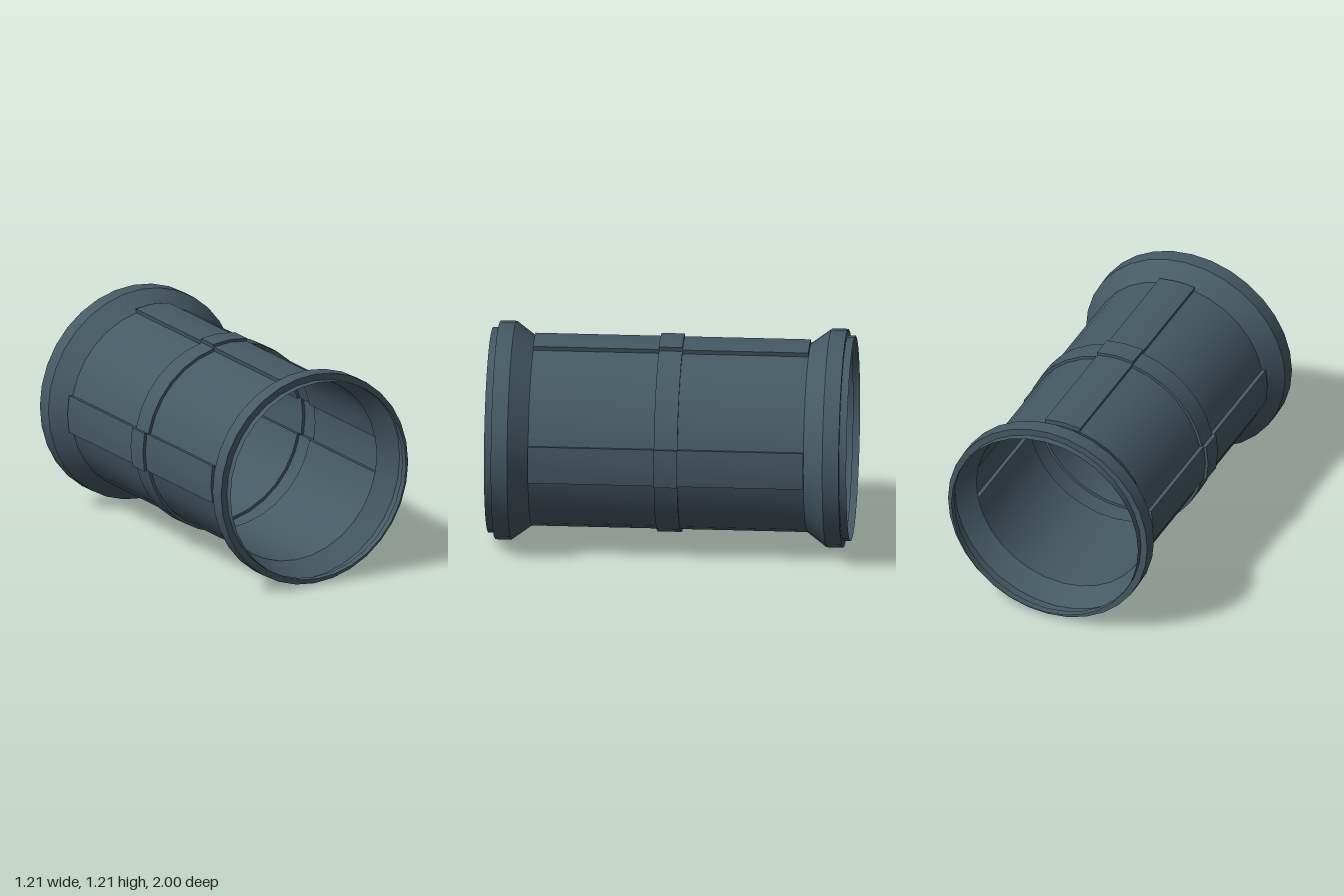
import * as THREE from 'three';
import { toCreasedNormals } from 'three/addons/utils/BufferGeometryUtils.js';

const SIDES = 32;
const CENTRE_Y = 0.603;
const PANEL_RISE = 0.025;
const PANEL_CENTRES = [0, 8, 16]; // left side, top, right side

// Points around the pipe as [angle, raised], doubled where a raised panel steps up or down
function ringPoints() {
  const points = [];
  for (let k = 0; k < SIDES; k++) {
    const angle = (k / SIDES) * Math.PI * 2;
    const starts = PANEL_CENTRES.some((c) => (c + SIDES - 1) % SIDES === k);
    const ends = PANEL_CENTRES.some((c) => c + 1 === k);
    const middle = PANEL_CENTRES.includes(k);
    if (starts) points.push([angle, 0], [angle, 1]);
    else if (ends) points.push([angle, 1], [angle, 0]);
    else points.push([angle, middle ? 1 : 0]);
  }
  return points;
}

// Skin a shell through stations of [z, radius, panel rise]
function shell(stations) {
  const ring = ringPoints();
  const at = ([z, radius, rise = 0], [angle, raised]) => {
    const r = radius + rise * raised;
    return new THREE.Vector3(r * Math.cos(angle), r * Math.sin(angle), z);
  };
  const positions = [];
  const triangle = new THREE.Triangle();
  const add = (a, b, c) => {
    if (triangle.set(a, b, c).getArea() < 1e-7) return;
    for (const p of [a, b, c]) positions.push(p.x, p.y, p.z);
  };
  for (let i = 0; i < stations.length - 1; i++) {
    for (let j = 0; j < ring.length; j++) {
      const next = ring[(j + 1) % ring.length];
      const a = at(stations[i], ring[j]);
      const b = at(stations[i], next);
      const c = at(stations[i + 1], next);
      const d = at(stations[i + 1], ring[j]);
      add(a, b, c);
      add(a, c, d);
    }
  }
  const geometry = new THREE.BufferGeometry();
  geometry.setAttribute('position', new THREE.Float32BufferAttribute(positions, 3));
  return toCreasedNormals(geometry, Math.PI / 7);
}

export function createModel() {
  const model = new THREE.Group();
  model.name = 'pipeCoupling';
  const material = new THREE.MeshStandardMaterial({ color: 0x455a64, side: THREE.DoubleSide });

  const addPart = (name, stations) => {
    const mesh = new THREE.Mesh(shell(stations), material);
    mesh.name = name;
    mesh.position.y = CENTRE_Y;
    model.add(mesh);
    return mesh;
  };

  const bodyR = 0.522;
  const bandR = 0.538;

  // Flared socket with a narrower lip at each end
  const socket = [
    [0.76, bodyR],
    [0.87, 0.603],
    [0.96, 0.603],
    [0.96, 0.566],
    [1, 0.566],
  ];
  addPart('frontSocket', socket);
  addPart('backSocket', socket.map(([z, r]) => [-z, r]).reverse());

  // Barrel halves with raised lengthwise panels, closed where they meet the sockets
  const barrel = [
    [0.065, bodyR, PANEL_RISE],
    [0.76, bodyR, PANEL_RISE],
    [0.76, bodyR, 0],
  ];
  addPart('frontBarrel', barrel);
  addPart('backBarrel', barrel.map(([z, r, rise]) => [-z, r, rise]).reverse());

  // Raised band around the middle, stepping over the panels
  addPart('middleBand', [
    [-0.065, bodyR, PANEL_RISE],
    [-0.065, bandR, PANEL_RISE],
    [0.065, bandR, PANEL_RISE],
    [0.065, bodyR, PANEL_RISE],
  ]);

  return model;
}
